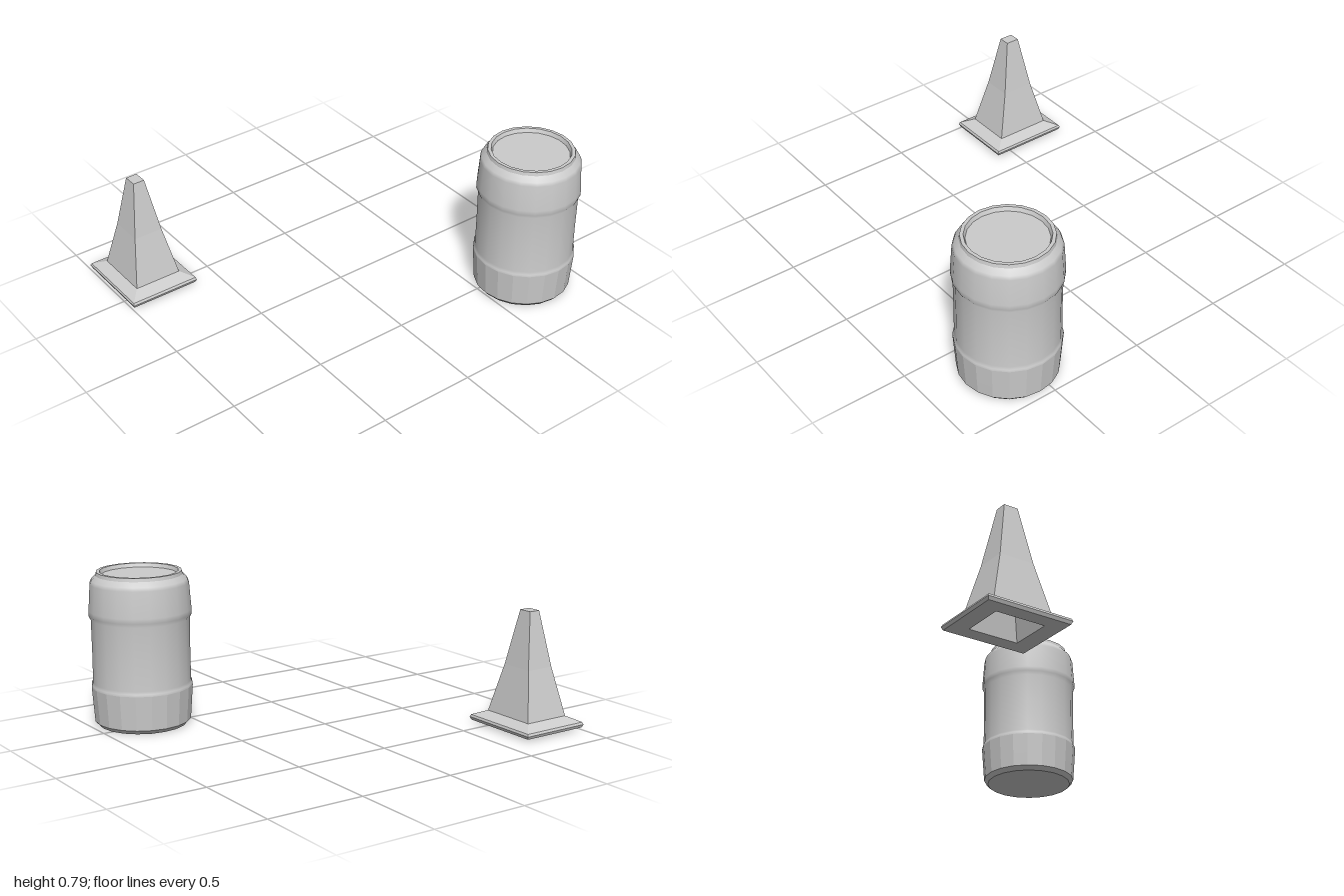
import * as THREE from 'three';

const SIDES = 20;
const smooth = new THREE.MeshStandardMaterial({ color: 0xcccccc });
const flat = new THREE.MeshStandardMaterial({ color: 0xcccccc, flatShading: true });

function addMesh(group, name, geometry, material) {
  const mesh = new THREE.Mesh(geometry, material);
  mesh.name = name;
  group.add(mesh);
}

// Round shell from [radius, y] points, listed upward for an outward face
function turned(points) {
  return new THREE.LatheGeometry(points.map(([r, y]) => new THREE.Vector2(r, y)), SIDES);
}

// Rectangular shell through [halfX, halfZ, y] sections, faceted
function rectLoft(sections) {
  const corners = [[1, 1], [1, -1], [-1, -1], [-1, 1]];
  const positions = [];
  const index = [];
  sections.forEach(([hx, hz, y], i) => {
    corners.forEach(([sx, sz], k) => {
      positions.push(sx * hx, y, sz * hz);
      if (i === sections.length - 1) return;
      const a = i * 4 + k, b = i * 4 + (k + 1) % 4;
      index.push(a, b, a + 4, b, b + 4, a + 4);
    });
  });
  const indexed = new THREE.BufferGeometry();
  indexed.setAttribute('position', new THREE.Float32BufferAttribute(positions, 3));
  indexed.setIndex(index);
  const geometry = indexed.toNonIndexed();
  geometry.computeVertexNormals();
  return geometry;
}

function createBarrel() {
  const barrel = new THREE.Group();
  barrel.name = 'barrel';
  // Closed underside and its chamfer
  addMesh(barrel, 'barrelBottom', turned([[0, 0], [0.225, 0]]), flat);
  addMesh(barrel, 'barrelFoot', turned([[0.225, 0], [0.245, 0.022]]), smooth);
  // Faceted lower band
  addMesh(barrel, 'lowerBand', turned([[0.245, 0.022], [0.25, 0.09], [0.258, 0.2]]), flat);
  // Side wall with the raised upper band and the shoulder
  addMesh(barrel, 'barrelWall', turned([
    [0.258, 0.2], [0.257, 0.212], [0.25, 0.225], [0.249, 0.38], [0.25, 0.55],
    [0.26, 0.57], [0.26, 0.595], [0.25, 0.73], [0.242, 0.748], [0.219, 0.772],
  ]), smooth);
  // Rim around the recessed lid
  addMesh(barrel, 'rimOuter', turned([[0.219, 0.772], [0.215, 0.79]]), smooth);
  addMesh(barrel, 'rimTop', turned([[0.215, 0.79], [0.198, 0.79]]), flat);
  addMesh(barrel, 'rimInner', turned([[0.198, 0.79], [0.19, 0.77]]), smooth);
  addMesh(barrel, 'lid', turned([[0.19, 0.77], [0, 0.77]]), flat);
  return barrel;
}

function createCone() {
  const cone = new THREE.Group();
  cone.name = 'trafficCone';
  // Hollow inside, from its apex down to the opening
  addMesh(cone, 'coneInside', rectLoft([
    [0, 0, 0.585], [0.022, 0.027, 0.585], [0.066, 0.076, 0.32], [0.106, 0.126, 0.014],
  ]), flat);
  // Flared foot plate
  addMesh(cone, 'footPlate', rectLoft([
    [0.106, 0.126, 0.014], [0.181, 0.213, 0.014], [0.1875, 0.22, 0.03],
    [0.183, 0.214, 0.042], [0.125, 0.15, 0.07],
  ]), flat);
  // Two-stage tapering body with a flat top
  addMesh(cone, 'coneBody', rectLoft([
    [0.125, 0.15, 0.07], [0.077, 0.088, 0.32], [0.03, 0.036, 0.605], [0, 0, 0.605],
  ]), flat);
  return cone;
}

export function createModel() {
  const model = new THREE.Group();
  model.name = 'barrelAndCone';
  const barrel = createBarrel();
  barrel.position.set(0.737, 0, 0.572);
  const cone = createCone();
  cone.position.set(-0.8125, 0, -0.62);
  model.add(barrel, cone);
  return model;
}
